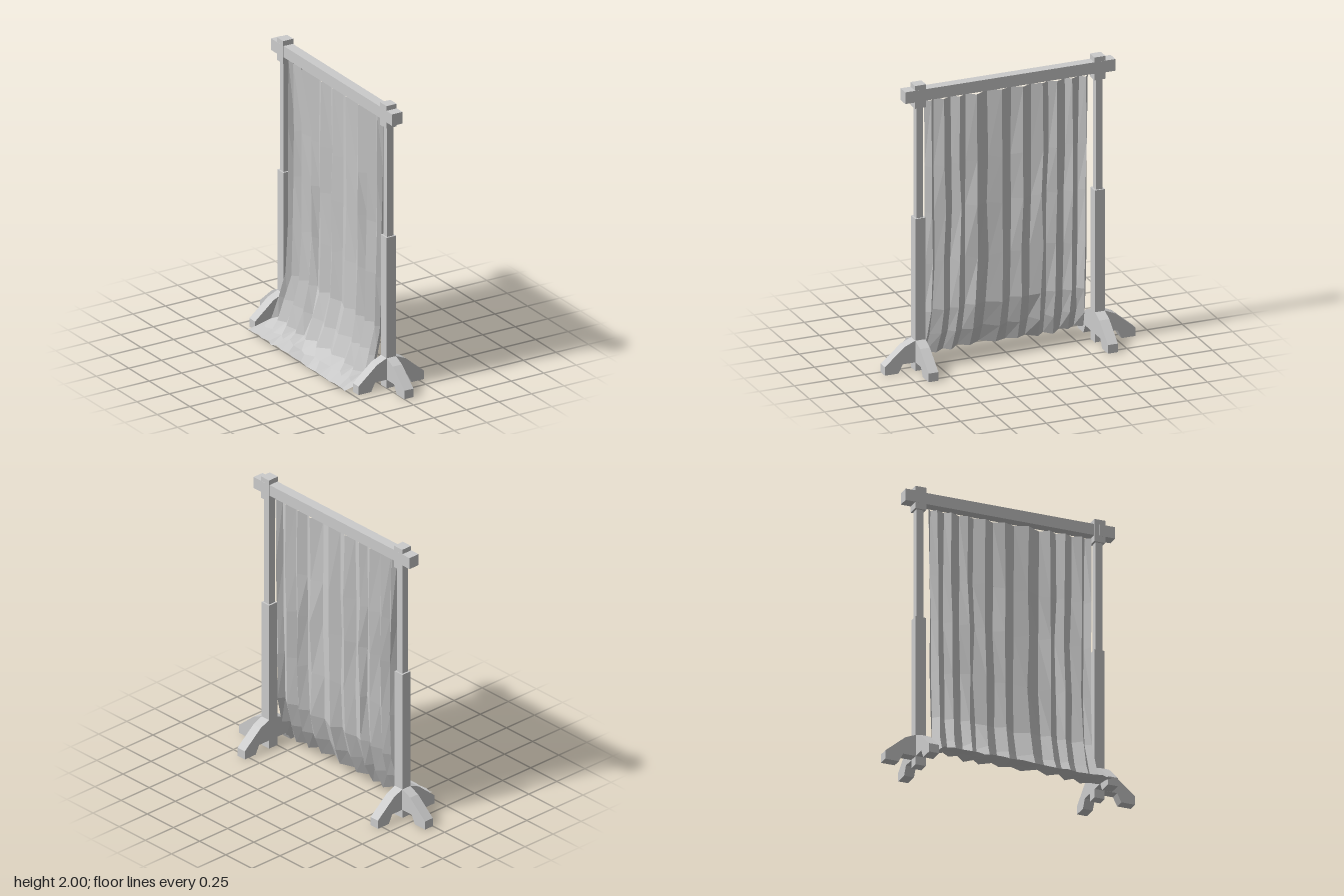
import * as THREE from 'three';

export function createModel() {
  const model = new THREE.Group();
  model.name = 'curtainStand';
  const grey = new THREE.MeshStandardMaterial({ color: 0xcccccc, flatShading: true, side: THREE.DoubleSide });
  grey.name = 'pale grey';

  const cx = 0.035; // centre line of the frame
  const pz = 0.636; // distance of the posts

  const add = (parent, name, geometry, x = 0, y = 0, z = 0) => {
    const mesh = new THREE.Mesh(geometry, grey);
    mesh.name = name;
    mesh.position.set(x, y, z);
    parent.add(mesh);
    return mesh;
  };
  const box = (parent, name, w, y0, y1, d, z = 0) =>
    add(parent, name, new THREE.BoxGeometry(w, y1 - y0, d), 0, (y0 + y1) / 2, z);

  // Bracket foot, profile running outward along +x
  const footShape = new THREE.Shape([
    [0, 0.06], [0.125, 0.06], [0.155, 0], [0.252, 0], [0.252, 0.06],
    [0.11, 0.18], [0.036, 0.212], [0, 0.212],
  ].map(([x, y]) => new THREE.Vector2(x, y)));
  const footGeometry = new THREE.ExtrudeGeometry(footShape, { depth: 0.07, bevelEnabled: false });
  footGeometry.translate(0, 0, -0.035);

  // Two posts, each with three feet and a top joint
  for (const side of [1, -1]) {
    const stand = new THREE.Group();
    stand.name = side > 0 ? 'frontStand' : 'backStand';
    stand.position.set(cx, 0, side * pz);
    model.add(stand);
    box(stand, 'lowerPost', 0.072, 0, 1.065, 0.072);
    box(stand, 'upperPost', 0.05, 1.065, 1.84, 0.048);
    box(stand, 'topJoint', 0.078, 1.84, 2, 0.078);
    box(stand, 'barEnd', 0.08, 1.885, 1.967, 0.11, side * 0.054);
    for (const angle of [0, Math.PI, -side * Math.PI / 2]) {
      add(stand, 'foot', footGeometry).rotation.y = angle;
    }
  }

  // Crossbar
  const bar = box(model, 'crossbar', 0.07, 1.885, 1.965, 1.25);
  bar.position.x = cx;

  // Pleated cloth: fold positions across, hanging profile downward
  const folds = [0.59, 0.55, 0.52, 0.46, 0.40, 0.35, 0.29, 0.23, 0.14, 0.05, -0.03, -0.10,
    -0.17, -0.24, -0.29, -0.34, -0.41, -0.45, -0.51, -0.545, -0.572];
  // height, depth, fold size, edge spread, irregularity
  const rows = [
    [1.868, 0.036, 0.020, 1.0, 0.004],
    [1.40, 0.037, 0.022, 0.995, 0.012],
    [1.08, 0.036, 0.024, 0.99, 0.012],
    [0.72, 0.032, 0.024, 0.985, 0.016],
    [0.38, 0.020, 0.024, 0.99, 0.012],
    [0.20, -0.022, 0.024, 1.01, 0.012],
    [0.062, -0.075, 0.026, 1.03, 0.012],
    [0.04, -0.18, 0.012, 1.03, 0.014],
    [0.025, -0.278, 0.004, 1.025, 0.008],
  ];
  let seed = 7;
  const jitter = () => {
    seed = (seed * 16807) % 2147483647;
    return seed / 1073741823.5 - 1;
  };
  const positions = [];
  const indices = [];
  rows.forEach(([y, x, fold, spread, wobble], r) => {
    folds.forEach((z, i) => {
      const inner = i > 0 && i < folds.length - 1 ? 1 : 0.4;
      const ridge = i % 2 ? 1 : -1;
      positions.push(
        x + ridge * fold * (0.85 + 0.25 * jitter()),
        y + wobble * jitter() * (r === 0 ? 1 : 0.9),
        z * spread + wobble * 0.6 * inner * jitter(),
      );
      if (r > 0 && i > 0) {
        const d = r * folds.length + i;
        const b = d - folds.length;
        indices.push(b - 1, d - 1, b, b, d - 1, d);
      }
    });
  });
  // Keep the hem just above the ground
  for (let k = 1; k < positions.length; k += 3) positions[k] = Math.max(positions[k], 0.012);
  const cloth = new THREE.BufferGeometry();
  cloth.setAttribute('position', new THREE.Float32BufferAttribute(positions, 3));
  // Reverse the winding so the outer side faces +x
  for (let k = 0; k < indices.length; k += 3) {
    [indices[k + 1], indices[k + 2]] = [indices[k + 2], indices[k + 1]];
  }
  cloth.setIndex(indices);
  const flat = cloth.toNonIndexed();
  flat.computeVertexNormals();
  add(model, 'curtain', flat);

  return model;
}
